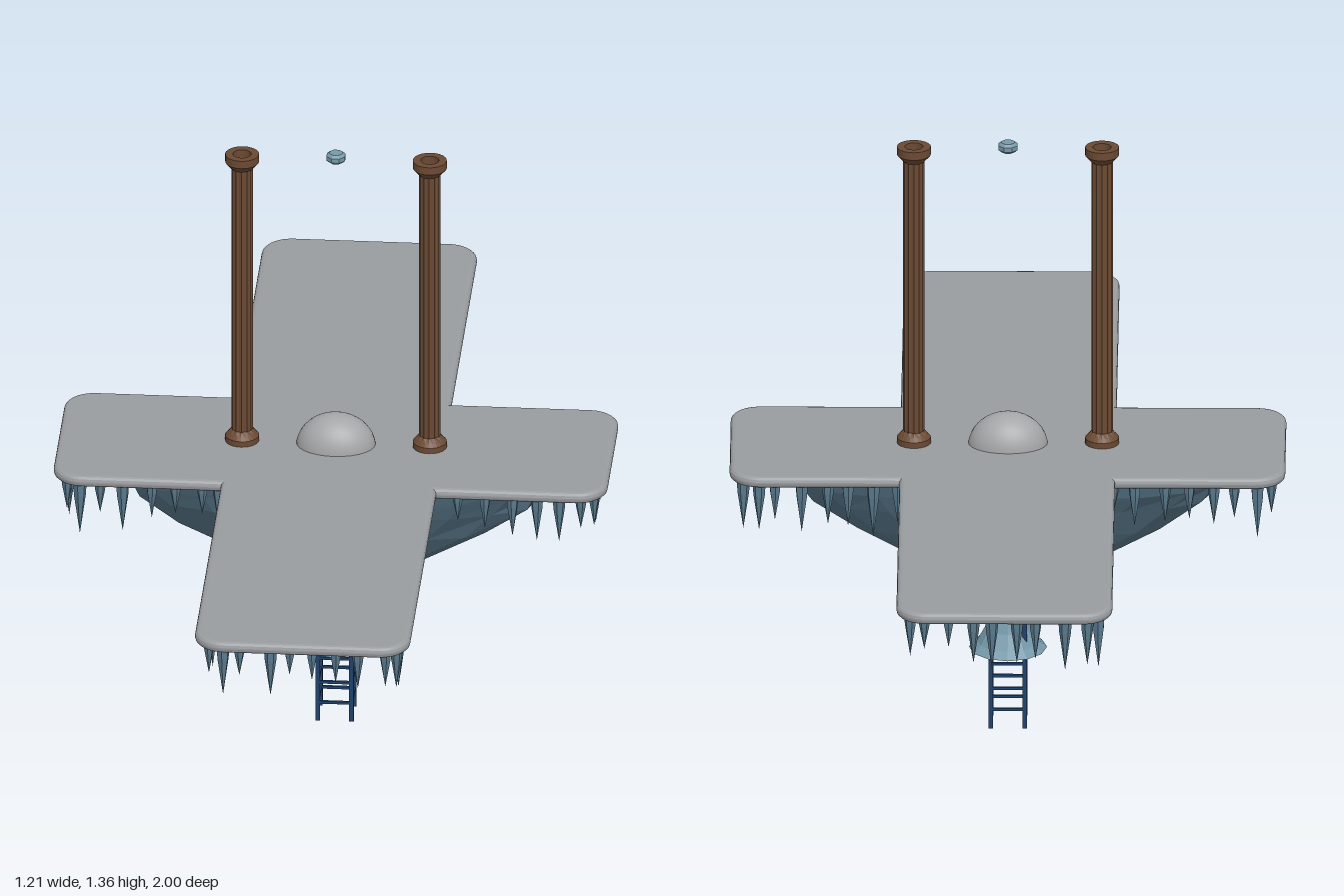
import * as THREE from 'three';

const mat = (name, color, opts = {}) => {
  const m = new THREE.MeshStandardMaterial({ color, flatShading: true, ...opts });
  m.name = name;
  return m;
};
const V2 = (x, y) => new THREE.Vector2(x, y);
const V3 = (x, y, z) => new THREE.Vector3(x, y, z);

function seeded(seed) {
  return () => {
    seed = (seed * 16807) % 2147483647;
    return seed / 2147483647;
  };
}

// Cross outline with rounded outer corners and sharp inner ones
function crossShape(ax, az, bx, bz, r) {
  const s = new THREE.Shape();
  const q = Math.PI / 2;
  s.moveTo(bx, -az);
  s.lineTo(ax - r, -az).absarc(ax - r, -az + r, r, -q, 0);
  s.lineTo(ax, az - r).absarc(ax - r, az - r, r, 0, q);
  s.lineTo(bx, az);
  s.lineTo(bx, bz - r).absarc(bx - r, bz - r, r, 0, q);
  s.lineTo(-bx + r, bz).absarc(-bx + r, bz - r, r, q, 2 * q);
  s.lineTo(-bx, az);
  s.lineTo(-ax + r, az).absarc(-ax + r, az - r, r, q, 2 * q);
  s.lineTo(-ax, -az + r).absarc(-ax + r, -az + r, r, 2 * q, 3 * q);
  s.lineTo(-bx, -az);
  s.lineTo(-bx, -bz + r).absarc(-bx + r, -bz + r, r, 2 * q, 3 * q);
  s.lineTo(bx - r, -bz).absarc(bx - r, -bz + r, r, 3 * q, 4 * q);
  s.closePath();
  return s;
}

// Faceted keel lofted through rounded rings given as [y, halfX, halfZ]
function keelGeometry(rings, seed) {
  const rnd = seeded(seed), n = 18, pos = [], idx = [];
  const pw = (v) => Math.sign(v) * Math.pow(Math.abs(v), 0.78);
  rings.forEach(([y, hx, hz], k) => {
    for (let i = 0; i < n; i++) {
      const a = (i / n) * Math.PI * 2;
      const j = k === rings.length - 1 ? 1 : 0.96 + 0.06 * rnd();
      pos.push(hx * j * pw(Math.cos(a)), y, hz * j * pw(Math.sin(a)));
    }
  });
  for (let k = 0; k < rings.length - 1; k++) {
    for (let i = 0; i < n; i++) {
      const a = k * n + i, b = k * n + (i + 1) % n;
      idx.push(a, a + n, b, b, a + n, b + n);
    }
  }
  // bottom cap
  for (let i = 1; i < n - 1; i++) idx.push(0, i, i + 1);
  const g = new THREE.BufferGeometry();
  g.setAttribute('position', new THREE.Float32BufferAttribute(pos, 3));
  g.setIndex(idx);
  g.computeVertexNormals();
  return g;
}

export function createModel() {
  const root = new THREE.Group();
  const stone = mat('stone grey', 0x9a9da0);
  const rock = mat('slate blue', 0x58778a, { side: THREE.DoubleSide });
  const ice = mat('icicle blue', 0x5b7c90);
  const pale = mat('pale blue', 0x7699aa, { side: THREE.DoubleSide });
  const navy = mat('navy', 0x1f416b);
  const wood = mat('brown', 0x6b4a33);
  const add = (name, geo, m, parent = root) => {
    const mesh = new THREE.Mesh(geo, m);
    mesh.name = name;
    parent.add(mesh);
    return mesh;
  };
  const group = (name) => {
    const g = new THREE.Group();
    g.name = name;
    root.add(g);
    return g;
  };

  // Cross-shaped deck with a rolled rim
  const bev = 0.011;
  const deck = new THREE.ExtrudeGeometry(
    crossShape(0.605 - bev, 0.212 - bev, 0.235 - bev, 1 - bev, 0.055),
    { depth: 0.003, bevelEnabled: true, bevelSize: bev, bevelThickness: bev, bevelSegments: 3, curveSegments: 6 });
  deck.rotateX(-Math.PI / 2).translate(0, 0.63 + bev, 0);
  add('deck', deck, stone);

  // Central dome
  const domeMat = mat('dome grey', 0xa4a6a8);
  domeMat.flatShading = false;
  const dome = add('dome', new THREE.SphereGeometry(1, 28, 12, 0, Math.PI * 2, 0, Math.PI / 2), domeMat);
  dome.scale.set(0.087, 0.077, 0.067);
  dome.position.y = 0.648;

  // Two crossing keels beneath the deck
  add('longKeel', keelGeometry([
    [0.315, 0.012, 0.06], [0.325, 0.035, 0.14], [0.375, 0.08, 0.33],
    [0.48, 0.14, 0.6], [0.57, 0.19, 0.77], [0.634, 0.222, 0.87]], 11), rock);
  add('crossKeel', keelGeometry([
    [0.33, 0.05, 0.01], [0.365, 0.16, 0.035], [0.47, 0.35, 0.1],
    [0.54, 0.44, 0.14], [0.585, 0.485, 0.163], [0.634, 0.515, 0.185]], 23), rock);

  // Icicles hung around the rim
  const icicles = group('icicles');
  const icicleGeo = new THREE.LatheGeometry(
    [V2(0, -1), V2(0.45, -0.62), V2(0.85, -0.28), V2(1, 0)], 6);
  const rnd = seeded(77);
  const ix = 0.575, iz = 0.185, jx = 0.205, jz = 0.965;
  const edges = [[jx, iz, ix, iz], [ix, iz, ix, 0], [jx, iz, jx, jz], [jx, jz, 0, jz]];
  for (const sx of [1, -1]) for (const sz of [1, -1]) {
    for (const [x0, z0, x1, z1] of edges) {
      const n = Math.round(Math.hypot(x1 - x0, z1 - z0) / 0.056);
      for (let i = 0; i < n; i++) {
        const t = (i + 0.3 + 0.4 * rnd()) / n;
        const m = add('icicle', icicleGeo, ice, icicles);
        const len = 0.065 + 0.065 * rnd();
        m.position.set(sx * (x0 + (x1 - x0) * t), 0.636, sz * (z0 + (z1 - z0) * t));
        m.scale.set(0.009 + len * 0.05, len, 0.009 + len * 0.05);
        m.rotation.y = rnd() * 3;
      }
    }
  }

  // Hollow fluted columns with moulded base and capital
  const half = [V2(0.037, 0), V2(0.037, 0.018), V2(0.031, 0.025), V2(0.0235, 0.034)];
  const H = 0.7;
  const top = half.map((p) => V2(p.x, H - p.y)).reverse();
  const profile = [V2(0.02, 0), ...half, ...top, V2(0.02, H), V2(0.02, 0)];
  const column = new THREE.LatheGeometry(profile, 24);
  const cp = column.attributes.position;
  for (let i = 0; i < cp.count; i++) {
    const seg = Math.floor(i / profile.length), k = i % profile.length;
    if (seg % 2 && (k === 4 || k === 5)) cp.setXYZ(i, cp.getX(i) * 0.89, cp.getY(i), cp.getZ(i) * 0.89);
  }
  for (const [name, x] of [['leftColumn', 0.205], ['rightColumn', -0.205]]) {
    add(name, column, wood).position.set(x, 0.65, 0);
  }

  // Small floating bead between the column tops
  const bead = new THREE.LatheGeometry(
    [V2(0, -0.011), V2(0.015, -0.011), V2(0.022, -0.005), V2(0.022, 0.005), V2(0.015, 0.011), V2(0, 0.011)],
    8, Math.PI / 8);
  add('floatingBead', bead, pale).position.y = 1.35;

  // Neck with a flared skirt
  add('neckSkirt', new THREE.LatheGeometry([
    V2(0.085, 0.175), V2(0.068, 0.19), V2(0.05, 0.222), V2(0.041, 0.248),
    V2(0.034, 0.27), V2(0.034, 0.3), V2(0.04, 0.34)], 12), pale);

  // Ladder tower: four posts, square rung rings and curved straps round the neck
  const tower = group('ladderTower');
  const c = 0.037;
  for (const sx of [1, -1]) for (const sz of [1, -1]) {
    add('post', new THREE.BoxGeometry(0.01, 0.25, 0.01), navy, tower).position.set(sx * c, 0.125, sz * c);
    const path = new THREE.CatmullRomCurve3([[0.034, 0.235], [0.035, 0.26], [0.043, 0.295], [0.04, 0.32], [0.033, 0.345]]
      .map(([r, y]) => V3(sx * r, y, sz * r)));
    add('strap', new THREE.TubeGeometry(path, 10, 0.0055, 5), navy, tower);
  }
  for (const y of [0.043, 0.092, 0.15, 0.25]) {
    for (const s of [1, -1]) {
      add('rung', new THREE.BoxGeometry(2 * c, 0.006, 0.006), navy, tower).position.set(0, y, s * c);
      add('rung', new THREE.BoxGeometry(0.006, 0.006, 2 * c), navy, tower).position.set(s * c, y, 0);
    }
  }
  return root;
}
